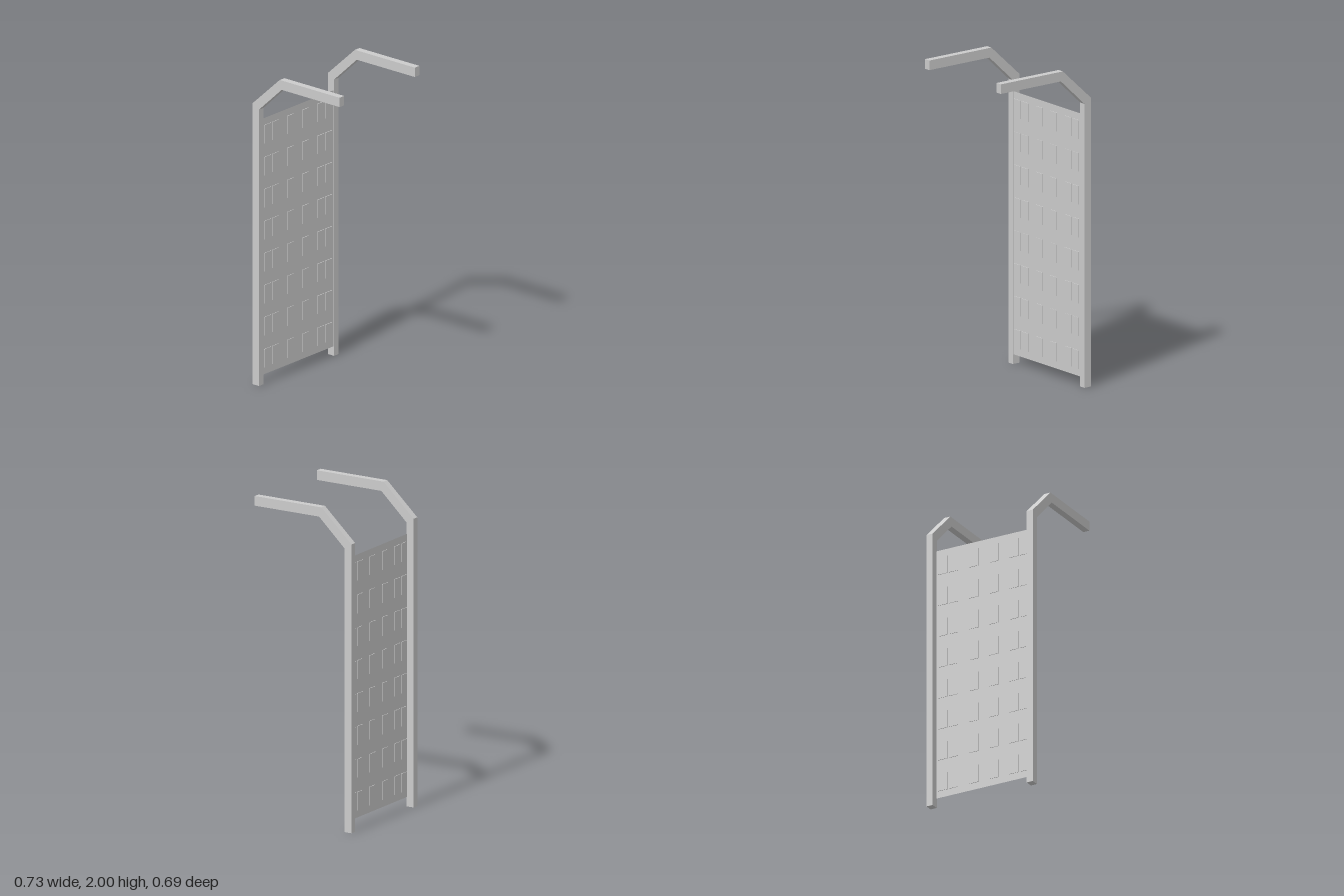
import * as THREE from 'three';

export function createModel() {
  const model = new THREE.Group();
  const grey = new THREE.MeshStandardMaterial({ color: 0xcccccc, flatShading: true });
  const sheetGrey = new THREE.MeshStandardMaterial({ color: 0xcccccc, side: THREE.DoubleSide });

  // Bent rail: side outline given as (z, y), extruded across x
  const railWidth = 0.042, railInner = 0.325;
  const outline = [
    [-0.345, 0], [-0.295, 0], [-0.295, 1.77], [-0.115, 1.94],
    [0.345, 1.94], [0.345, 2], [-0.13, 2], [-0.345, 1.8],
  ];
  // shape x stands for -z, so a quarter turn about y lays depth along +x
  const shape = new THREE.Shape(outline.map(([z, y]) => new THREE.Vector2(-z, y)));
  const railGeometry = new THREE.ExtrudeGeometry(shape, { depth: railWidth, bevelEnabled: false });
  railGeometry.rotateY(Math.PI / 2);
  for (const [name, x] of [['leftRail', railInner], ['rightRail', -railInner - railWidth]]) {
    const rail = new THREE.Mesh(railGeometry, grey);
    rail.name = name;
    rail.position.x = x;
    model.add(rail);
  }

  // Thin sheet stretched between the rails
  const bottom = 0.06, top = 1.7, panelZ = -0.3;
  const panel = new THREE.Group();
  panel.name = 'panel';
  const sheet = new THREE.Mesh(new THREE.PlaneGeometry(railInner * 2, top - bottom), sheetGrey);
  sheet.name = 'sheet';
  sheet.position.set(0, (top + bottom) / 2, panelZ);
  panel.add(sheet);

  // Low raised pads in columns, showing on both faces of the sheet
  const columns = [-0.286, -0.212, -0.073, 0.065, 0.205, 0.28];
  const rows = 8, pitch = (top - bottom) / rows;
  const padGeometry = new THREE.BoxGeometry(0.062, 0.115, 0.008);
  for (const x of columns) {
    for (let row = 0; row < rows; row++) {
      const pad = new THREE.Mesh(padGeometry, grey);
      pad.name = 'pad';
      pad.position.set(x, bottom + (row + 0.5) * pitch, panelZ);
      panel.add(pad);
    }
  }
  model.add(panel);
  return model;
}
